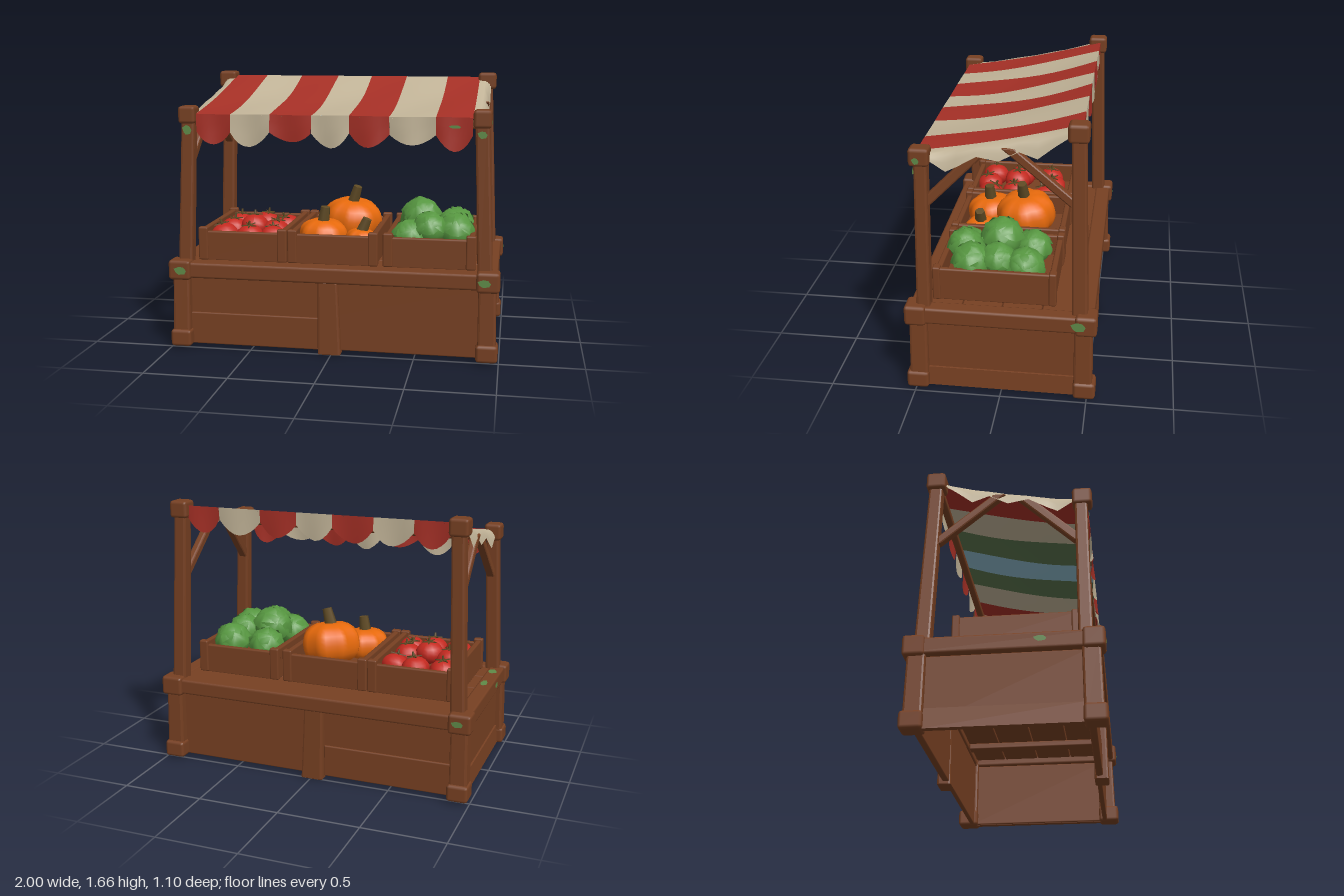
import * as THREE from 'three';
import { RoundedBoxGeometry } from 'three/addons/geometries/RoundedBoxGeometry.js';

const mat = (name, color, double) => {
  const m = new THREE.MeshStandardMaterial({ color });
  m.name = name;
  if (double) m.side = THREE.DoubleSide;
  return m;
};

export function createModel() {
  const wood = mat('wood', 0x774022), red = mat('red cloth', 0xa63026, true);
  const cream = mat('cream cloth', 0xc2b498, true), blue = mat('blue lining', 0x8cb8ca, true);
  const darkGreen = mat('dark green lining', 0x5a734c, true);
  const leaf = mat('cabbage green', 0x569640, true), orange = mat('pumpkin orange', 0xe86a0c);
  const tomatoRed = mat('tomato red', 0xc42a20), stemMat = mat('stem brown', 0x5f4a24);
  const moss = mat('moss', 0x5f8a48, true);

  const root = new THREE.Group();
  root.name = 'marketStall';
  const group = (name, parent = root) => {
    const g = new THREE.Group();
    g.name = name;
    parent.add(g);
    return g;
  };
  const add = (parent, name, geo, material, x = 0, y = 0, z = 0) => {
    const m = new THREE.Mesh(geo, material);
    m.name = name;
    m.position.set(x, y, z);
    parent.add(m);
    return m;
  };
  const warp = (geo, fn) => {
    const p = geo.attributes.position, v = new THREE.Vector3();
    for (let i = 0; i < p.count; i++) {
      fn(v.fromBufferAttribute(p, i));
      p.setXYZ(i, v.x, v.y, v.z);
    }
    geo.computeVertexNormals();
    return geo;
  };
  // bevelled block given by its centre and size
  const block = (parent, name, x, y, z, w, h, d, bevel = 0.015) =>
    add(parent, name, new RoundedBoxGeometry(w, h, d, 1, Math.min(bevel, w / 3, h / 3, d / 3)), wood, x, y, z);
  // leaning, tapered post between two points
  const post = (parent, name, a, b, w, d, taper = 1) => {
    const A = new THREE.Vector3(...a), B = new THREE.Vector3(...b);
    const geo = warp(new RoundedBoxGeometry(w, 1, d, 1, 0.014), (v) => {
      const t = v.y + 0.5, s = 1 + (taper - 1) * t;
      v.set(A.x + (B.x - A.x) * t + v.x * s, A.y + (B.y - A.y) * t, A.z + (B.z - A.z) * t + v.z * s);
    });
    return add(parent, name, geo, wood);
  };
  // surface grid from a function of (u, v)
  const surface = (fn, nu, nv) => {
    const pos = [], idx = [];
    for (let j = 0; j <= nv; j++) for (let i = 0; i <= nu; i++) pos.push(...fn(i / nu, j / nv));
    for (let j = 0; j < nv; j++) for (let i = 0; i < nu; i++) {
      const a = j * (nu + 1) + i, b = a + 1, c = a + nu + 1, d = c + 1;
      idx.push(a, c, b, b, c, d);
    }
    const g = new THREE.BufferGeometry();
    g.setAttribute('position', new THREE.Float32BufferAttribute(pos, 3));
    g.setIndex(idx);
    g.computeVertexNormals();
    return g;
  };

  // Base: feet, legs, panels, middle posts and counter
  const base = group('base');
  for (const s of [-1, 1]) {
    for (const f of [-1, 1]) {
      block(base, 'foot', s * 0.93, 0.067, f * 0.485, 0.13, 0.105, 0.13, 0.02);
      post(base, 'leg', [s * 0.93, 0.03, f * 0.478], [s * 0.925, 0.46, f * 0.472], 0.108, 0.108, 0.95);
      block(base, 'counterCorner', s * 0.93, 0.495, f * 0.487, 0.138, 0.122, 0.125, 0.02);
    }
    block(base, 'sidePanel', s * 0.925, 0.235, 0, 0.03, 0.42, 0.9, 0.008);
    post(base, 'sideSkirting', [s * 0.94, 0.02, 0], [s * 0.93, 0.14, 0], 0.04, 0.88);
    block(base, 'counterSideRail', s * 0.935, 0.493, 0, 0.095, 0.1, 0.96);
    block(base, 'longPanel', 0, 0.235, s * 0.457, 1.84, 0.43, 0.03, 0.008);
    block(base, 'skirting', -0.49, 0.12, s * 0.468, 0.82, 0.2, 0.03, 0.008);
    post(base, 'middlePost', [-0.01, 0, s * 0.475], [-0.02, 0.45, s * 0.475], 0.14, 0.085, 0.85);
    block(base, 'counterLongRail', 0, 0.493, s * 0.48, 1.84, 0.095, 0.1);
  }
  for (let i = 0; i < 4; i++) block(base, 'counterPlank', 0, 0.51, -0.345 + i * 0.23, 1.82, 0.05, 0.226, 0.008);
  for (const x of [-0.58, 0, 0.58]) block(base, 'underBatten', x, 0.465, 0, 0.08, 0.04, 0.86, 0.008);

  // Frame: upper posts, caps, braces and beams
  const frame = group('frame');
  for (const s of [-1, 1]) {
    post(frame, 'frontPost', [s * 0.91, 0.5, 0.443], [s * 0.873, 1.42, 0.435], 0.088, 0.08, 0.92);
    post(frame, 'backPost', [s * 0.905, 0.5, -0.45], [s * 0.865, 1.6, -0.418], 0.088, 0.09, 0.88);
    block(frame, 'frontCap', s * 0.875, 1.435, 0.442, 0.105, 0.105, 0.115, 0.02);
    block(frame, 'backCap', s * 0.87, 1.608, -0.417, 0.115, 0.105, 0.115, 0.02);
    post(frame, 'frontBrace', [s * 0.875, 1.15, 0.43], [s * 0.85, 1.48, 0.1], 0.05, 0.08);
    post(frame, 'backBrace', [s * 0.875, 1.18, -0.42], [s * 0.868, 1.5, -0.04], 0.05, 0.08);
  }
  block(frame, 'frontBeam', 0, 1.4, 0.425, 1.7, 0.05, 0.05);
  block(frame, 'backBeam', 0, 1.575, -0.405, 1.7, 0.05, 0.045);

  // Awning: striped sagging cloth, lining and scalloped edges
  const awning = group('awning');
  const clothY = (x, t) => 1.632 - 0.19 * t - Math.sin(Math.PI * t) * (0.014 + 0.02 * Math.cos(x * 1.8))
    - 0.006 * Math.sin(x * 11.5) * Math.sin(t * 6);
  const zAt = (t) => -0.435 + 0.905 * t;
  const edges = [-0.82, -0.61, -0.37, -0.12, 0.105, 0.34, 0.61, 0.82];
  const lining = [red, cream, darkGreen, blue, darkGreen, cream, red];
  for (let k = 0; k < 7; k++) {
    const a = edges[k], w = edges[k + 1] - a, color = k % 2 ? cream : red;
    const hang = 0.155 + 0.02 * Math.sin(k * 2.3), lean = 0.18 * Math.sin(k * 1.9);
    const scallop = (u) => Math.pow(Math.abs(Math.sin(Math.PI * (u + lean * u * (1 - u)))), 0.85);
    add(awning, 'clothStripe', surface((u, v) => [a + w * u, clothY(a + w * u, v), zAt(v)], 4, 10), color);
    add(awning, 'clothLining', surface((u, v) =>
      [a + w * (1 - u), clothY(a + w * (1 - u), v) - 0.008, zAt(v)], 4, 10), lining[k]);
    add(awning, 'frontValance', surface((u, v) => {
      const x = a + w * u;
      return [x, clothY(x, 1) - v * (0.105 + (hang - 0.08) * scallop(u)),
        0.47 + 0.012 * v * Math.sin(u * 6.28 + k)];
    }, 8, 3), color);
    add(awning, 'backValance', surface((u, v) => {
      const x = a + w * (1 - u);
      return [x, clothY(x, 0) - v * (0.075 + 0.085 * scallop(u)),
        -0.435 - 0.008 * v * Math.sin(u * 6.28 + k)];
    }, 8, 2), color);
  }
  // side flaps with pointed folds, given as [z, drop]
  const folds = [[0.45, 0.02], [0.38, 0.05], [0.3, 0.115], [0.24, 0.095], [0.13, 0.05], [0.01, 0.095],
    [-0.1, 0.06], [-0.2, 0.12], [-0.29, 0.07], [-0.41, 0.015]];
  for (const s of [-1, 1]) {
    add(awning, 'sideValance', surface((u, v) => {
      const [z, drop] = folds[Math.round(u * 9)];
      return [s * (0.82 + 0.075 * Math.sqrt(v)), clothY(0.82, (z + 0.435) / 0.905) - drop * v * v, z];
    }, 9, 4), cream);
  }

  // Crates: four walls, a bed and corner cleats
  const crates = [-0.57, -0.01, 0.575].map((x, i) => {
    const g = group(['tomatoCrate', 'pumpkinCrate', 'cabbageCrate'][i]);
    g.position.set(x, 0, 0.05);
    block(g, 'bed', 0, 0.575, 0, 0.48, 0.06, 0.64, 0.008);
    for (const s of [-1, 1]) {
      block(g, 'sideWall', s * 0.25, 0.63, 0, 0.035, 0.2, 0.69, 0.01);
      block(g, 'endWall', 0, 0.622, s * 0.33, 0.5, 0.185, 0.035, 0.01);
      for (const f of [-1, 1]) block(g, 'cleat', s * 0.248, 0.637, f * 0.335, 0.06, 0.205, 0.045, 0.01);
    }
    return g;
  });

  // Tomatoes with star-shaped calyx
  const star = new THREE.Shape();
  for (let i = 0; i < 10; i++) {
    const r = i % 2 ? 0.012 : 0.05, a = i * Math.PI / 5;
    star[i ? 'lineTo' : 'moveTo'](r * Math.cos(a), r * Math.sin(a));
  }
  const tomatoGeo = warp(new THREE.SphereGeometry(0.088, 14, 10), (v) => {
    const a = Math.atan2(v.z, v.x);
    const s = 1 + 0.04 * Math.cos(5 * a) * Math.hypot(v.x, v.z) / 0.088;
    v.set(v.x * s, v.y * 0.82, v.z * s);
  });
  const starGeo = new THREE.ExtrudeGeometry(star, { depth: 0.006, bevelEnabled: false }).rotateX(-Math.PI / 2);
  [[-0.15, 0.67, 0.22], [0.02, 0.67, 0.24], [0.16, 0.66, 0.21], [-0.14, 0.67, 0.03], [0.14, 0.67, 0.05],
    [-0.15, 0.66, -0.17], [0.02, 0.67, -0.2], [0.16, 0.66, -0.16], [0, 0.7, 0.05]].forEach(([x, y, z], i) => {
    const t = group('tomato', crates[0]);
    t.position.set(x, y, z);
    t.rotation.set(Math.sin(i * 2.1) * 0.25, i, Math.cos(i * 1.7) * 0.25);
    add(t, 'tomatoBody', tomatoGeo, tomatoRed);
    add(t, 'tomatoCalyx', starGeo, stemMat, 0, 0.07, 0);
    add(t, 'tomatoStem', new THREE.CylinderGeometry(0.006, 0.01, 0.035, 5), stemMat, 0, 0.085, 0);
  });

  // Ribbed pumpkins with flattened tops
  [[0.055, 0.735, -0.085, 0.185, 0.76, -0.3, 0.1], [-0.09, 0.675, 0.16, 0.15, 0.72, -0.15, 0.05],
    [0.155, 0.645, 0.19, 0.105, 0.85, -0.4, 0]].forEach(([x, y, z, r, flat, tilt, nod]) => {
    const p = group('pumpkin', crates[1]);
    p.position.set(x, y, z);
    p.rotation.set(nod, 0, tilt * 0.4);
    add(p, 'pumpkinBody', warp(new THREE.SphereGeometry(r, 32, 14), (v) => {
      const a = Math.atan2(v.z, v.x), d = Math.hypot(v.x, v.z) / r;
      const s = (0.92 + 0.1 * Math.abs(Math.cos(4 * a))) * (1 + 0.12 * d * (1 - d) * 4);
      v.set(v.x * s, v.y * flat - 0.1 * r * Math.max(0, 1 - d * 2.5) * Math.sign(v.y), v.z * s);
    }), orange);
    const h = 0.06 + r * 0.3;
    add(p, 'pumpkinStem', new THREE.CylinderGeometry(0.03, 0.04, h, 6), stemMat, 0, r * flat + h * 0.22, 0)
      .rotation.z = tilt * 0.6;
  });

  // Cabbages: heart wrapped in ruffled, flaring leaves
  [[-0.08, 0.775, 0, 0.125], [0.14, 0.72, 0.15, 0.115], [-0.13, 0.69, 0.22, 0.11], [-0.01, 0.745, 0.21, 0.105],
    [-0.12, 0.7, -0.18, 0.11], [0.13, 0.7, -0.16, 0.115], [0.12, 0.73, 0, 0.105]].forEach(([x, y, z, r], k) => {
    const c = group('cabbage', crates[2]);
    c.position.set(x, y, z);
    c.rotation.set(0.3 * Math.sin(k * 2), k * 1.3, 0.3 * Math.cos(k * 3));
    add(c, 'cabbageHeart', warp(new THREE.SphereGeometry(r * 0.92, 14, 10), (v) =>
      v.multiplyScalar(1 + 0.03 * Math.sin(v.x * 60 + k) * Math.sin(v.z * 50))), leaf);
    for (let i = 0; i < 5; i++) {
      const geo = warp(new THREE.SphereGeometry(r, 14, 4, 0, Math.PI * 2, 0, 0.85), (v) => {
        const d = Math.hypot(v.x, v.z) / r, a = Math.atan2(v.z, v.x);
        v.multiplyScalar(1 + 0.14 * d * d * (0.4 + Math.cos(a * 5 + i + k)));
      });
      add(c, 'cabbageLeaf', geo, leaf).rotation.set(0.75 + 0.25 * (i % 2), i * 1.257, 0, 'YXZ');
    }
  });

  // Moss patches: thin irregular plates facing +z, turned to their surface
  const patches = group('mossPatches');
  const patch = (x, y, z, w, h, rx = 0, ry = 0) => {
    const m = add(patches, 'mossPatch', warp(new THREE.CircleGeometry(1, 7), (v) =>
      v.set(v.x * w * (1 + 0.2 * Math.sin(v.y * 5)), v.y * h, 0)), moss, x, y, z);
    m.rotation.set(rx, ry, 0);
  };
  const q = Math.PI / 2;
  patch(-0.92, 0.495, 0.552, 0.038, 0.026);
  patch(0.91, 0.495, 0.552, 0.038, 0.024);
  patch(-0.876, 1.345, 0.48, 0.028, 0.03);
  patch(0.876, 1.345, 0.48, 0.028, 0.022);
  patch(0.72, 1.39, 0.486, 0.035, 0.01);
  patch(1.001, 0.5, -0.445, 0.042, 0.03, 0, q);
  patch(0.93, 1.42, 0.455, 0.02, 0.02, 0, q);
  patch(-0.93, 0.546, 0.08, 0.022, 0.05, -q);
  patch(-0.93, 0.546, 0.32, 0.028, 0.042, -q);
  patch(-0.985, 0.5, 0.2, 0.035, 0.018, 0, -q);
  patch(-0.92, 0.5, -0.552, 0.035, 0.02, 0, Math.PI);
  return root;
}
